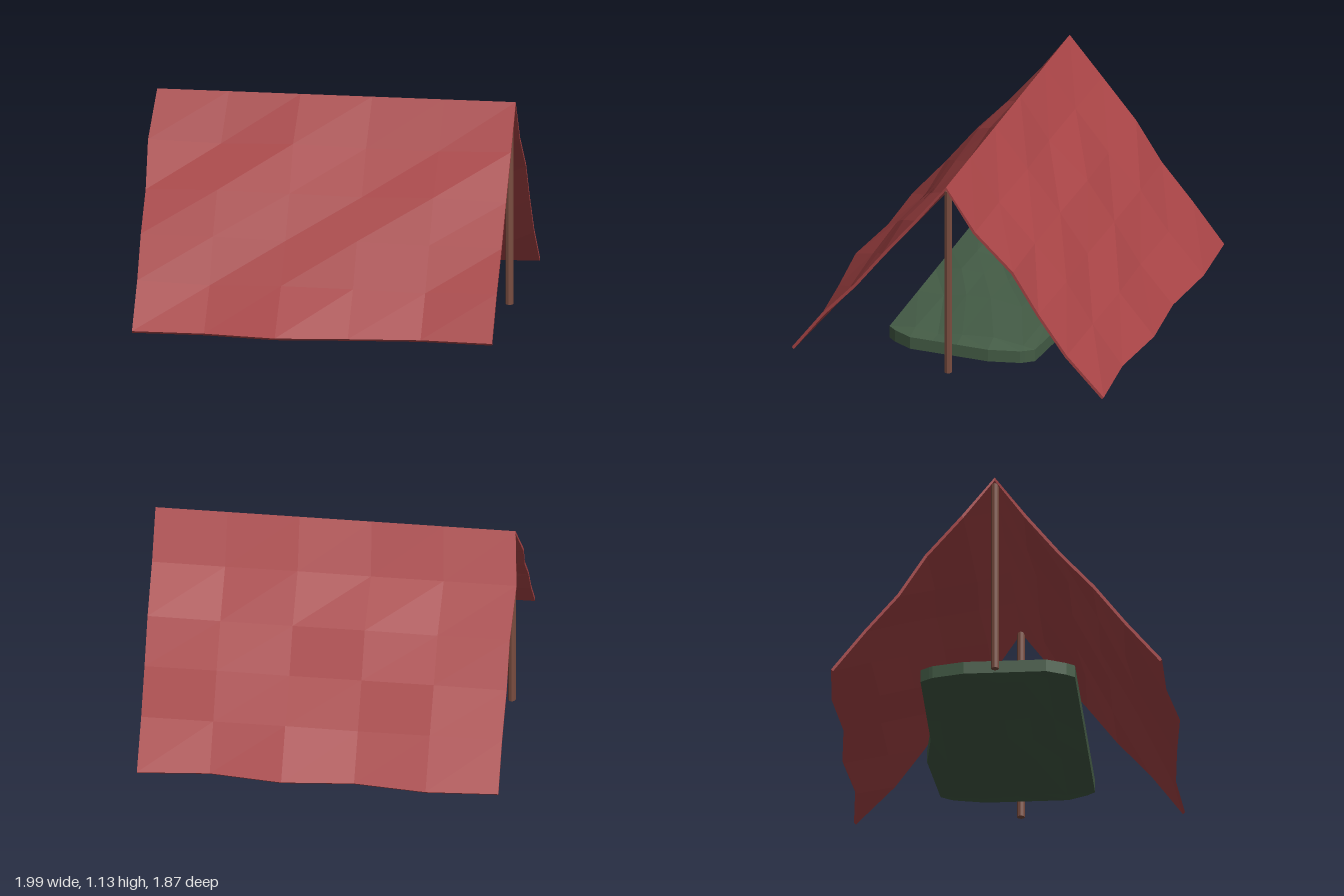
import * as THREE from 'three';

const paint = (color) => new THREE.MeshStandardMaterial({ color, flatShading: true });

// Moves every vertex of a geometry by a rule that returns a new [x, y, z].
function reshape(geometry, rule) {
  const p = geometry.attributes.position;
  for (let i = 0; i < p.count; i++) p.setXYZ(i, ...rule(p.getX(i), p.getY(i), p.getZ(i)));
  geometry.computeVertexNormals();
  return geometry;
}

const RIDGE_Z = -0.02;
// Sagging canvas profile from the ridge to the hem: [distance from ridge, height]
const PROFILE = [[0, 1.135], [0.17, 0.892], [0.375, 0.675], [0.54, 0.46], [0.705, 0.24], [0.9, 0.015]];
const LEFT_EDGE = [-0.975, -1, -0.985, -0.985, -0.98, -0.98];
// Hem positions per column, for the front and back halves
const HEM_FRONT = [0.89, 0.885, 0.93, 0.885, 0.85, 0.87];
const HEM_BACK = [0.91, 0.935, 0.9, 0.935, 0.895, 0.93];

// One canvas half: a thin slab draped along the profile, with slight wrinkles
function canvasHalf(side, hem) {
  const g = new THREE.BoxGeometry(5, 1, 5, 5, 1, 5);
  return reshape(g, (gx, gy, gz) => {
    const col = Math.round(gx + 2.5);
    const row = Math.round(side * gz + 2.5);
    let [d, y] = PROFILE[row];
    if (row === 5) d = hem[col] - side * RIDGE_Z;
    else if (row > 0) {
      const wrinkle = 0.016 * Math.sin(col * 2.3 + row * 1.9 + side);
      d += 0.75 * wrinkle;
      y += 0.65 * wrinkle;
    }
    if (gy < 0) {
      if (row > 0) d -= 0.011;
      y -= row === 0 ? 0.018 : 0.012;
    }
    const x = THREE.MathUtils.lerp(LEFT_EDGE[row], 0.99, col / 5);
    return [x, y, RIDGE_Z + side * d];
  });
}

// Sleeping mat: a flat slab with cut corners and a gently uneven surface
function matGeometry() {
  const g = new THREE.BoxGeometry(6, 1, 6, 6, 1, 6);
  const xs = [-0.84, -0.75, -0.25, 0, 0.28, 0.73, 0.82];
  const zs = [-0.44, -0.37, -0.2, -0.02, 0.12, 0.25, 0.4];
  return reshape(g, (gx, gy, gz) => {
    const i = Math.round(gx + 3), k = Math.round(gz + 3);
    let x = xs[i], z = zs[k];
    const endX = i === 0 || i === 6, endZ = k === 0 || k === 6;
    if (endX && endZ) { x *= 0.935; z *= 0.89; }
    else if (endX && (k === 1)) x *= 0.95;
    if (k === 0 && i === 4) z -= 0.04;
    let y = gy > 0 ? 0.1 : 0.03;
    if (!endX && !endZ) y += (gy > 0 ? 0.017 : -0.01) * (1 + Math.sin(i * 2.1 + k * 1.7));
    return [x, y, z];
  });
}

export function createModel() {
  const tent = new THREE.Group();
  tent.name = 'tent';
  const add = (name, geometry, material, parent = tent) => {
    const mesh = new THREE.Mesh(geometry, material);
    mesh.name = name;
    parent.add(mesh);
    return mesh;
  };

  // Canvas
  const cloth = paint(0xa84446);
  const canvas = new THREE.Group();
  canvas.name = 'canvas';
  tent.add(canvas);
  add('canvasFront', canvasHalf(1, HEM_FRONT), cloth, canvas);
  add('canvasBack', canvasHalf(-1, HEM_BACK), cloth, canvas);

  // Poles at both ends of the ridge
  const wood = paint(0x7a4d40);
  for (const s of [1, -1]) {
    const pole = add(s > 0 ? 'leftPole' : 'rightPole', new THREE.CylinderGeometry(0.022, 0.022, 1.1, 8), wood);
    pole.position.set(s * 0.955, 0.55, RIDGE_Z);
  }

  // Mat
  add('sleepingMat', matGeometry(), paint(0x445c46));
  return tent;
}
